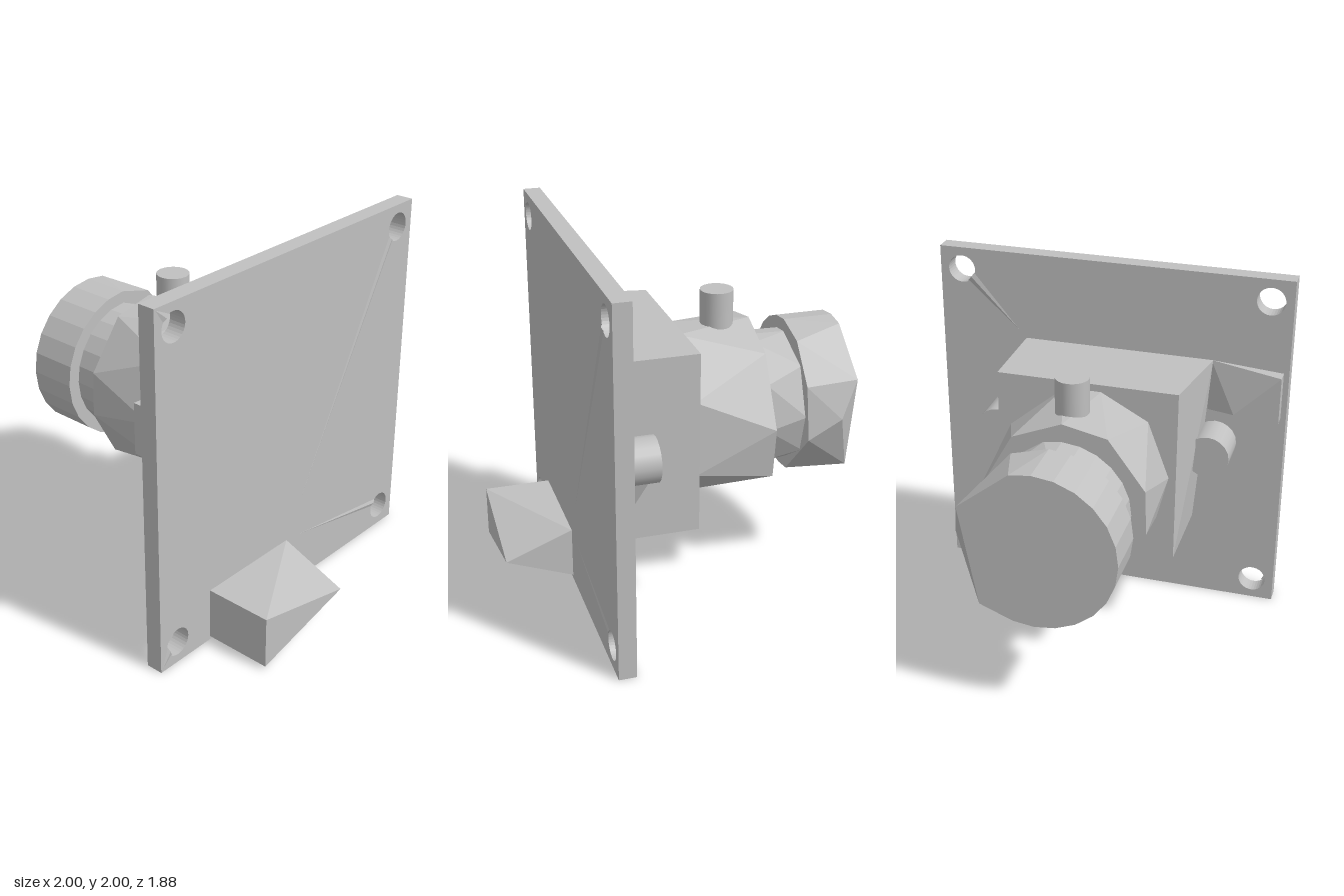
import * as THREE from 'three';
import { ConvexGeometry } from 'three/addons/geometries/ConvexGeometry.js';

export function createModel() {
  const model = new THREE.Group();
  const grey = new THREE.MeshStandardMaterial({ color: 0xc0c0c0 });
  grey.name = 'plain grey';

  const add = (name, geometry, x = 0, y = 0, z = 0) => {
    const mesh = new THREE.Mesh(geometry, grey);
    mesh.name = name;
    mesh.position.set(x, y, z);
    model.add(mesh);
    return mesh;
  };
  // faceted solid around a few corner points
  const solid = (name, points) =>
    add(name, new ConvexGeometry(points.map((p) => new THREE.Vector3(...p))));
  const ring = (z, points) => points.map(([x, y]) => [x, y, z]);
  // finely stepped arc around the body axis, angles in degrees
  const arc = (r, from, to, step = 15) => {
    const points = [];
    for (let a = from; a <= to; a += step) {
      const t = THREE.MathUtils.degToRad(a);
      points.push([r * Math.cos(t), 1 + r * Math.sin(t)]);
    }
    return points;
  };

  // mounting plate with four screw holes
  const plate = new THREE.Shape([[-1, 0], [1, 0], [1, 2], [-1, 2]].map((p) => new THREE.Vector2(...p)));
  for (const x of [-0.875, 0.875]) {
    for (const y of [0.125, 1.875]) {
      plate.holes.push(new THREE.Path().absarc(x, y, 0.078, 0, Math.PI * 2, true));
    }
  }
  add('mountingPlate', new THREE.ExtrudeGeometry(plate, { depth: 0.095, bevelEnabled: false, curveSegments: 16 }), 0, 0, 0.465);

  // fine creases running to the screw holes: [tip, side, side]
  const crease = (z, lift, [a, b, c]) => {
    const mid = [(b[0] + c[0]) / 2, (b[1] + c[1]) / 2, z + lift];
    solid('plateCrease', [...ring(z, [a, b, c]), mid]);
  };
  [
    [[0, 0.32], [0.8, 1.835], [0.84, 1.81]],
    [[0, 0.315], [0.83, 0.19], [0.8, 0.15]],
    [[-1, 2], [-0.945, 1.915], [-0.9, 1.95]],
    [[-1, 0], [-0.95, 0.13], [-0.92, 0.07]],
  ].forEach((p) => crease(0.559, 0.008, p));
  [
    [[0.5, 1.5], [0.8, 1.86], [0.84, 1.81]],
    [[0.5, 0.5], [0.8, 0.15], [0.84, 0.19]],
  ].forEach((p) => crease(0.466, -0.008, p));

  // wedge block on the front
  solid('frontBlock', [
    ...ring(0.56, [[-0.63, 0.02], [-0.005, 0.02], [-0.005, 0.31], [-0.63, 0.31]]),
    ...ring(0.935, [[-0.63, 0.02], [-0.63, 0.31], [-0.005, 0.165]]),
  ]);

  // housing box, flared at its upper right corner
  solid('housing', [
    ...ring(-0.02, [[-0.5, 0.5], [0.5, 0.5], [0.5, 1.5], [-0.5, 1.5]]),
    ...ring(0.465, [[-0.5, 0.5], [0.5, 0.5], [0.5, 1.5], [-0.58, 1.5]]),
  ]);

  // side pins
  for (const x of [-0.61, 0.61]) {
    add('sidePin', new THREE.CylinderGeometry(0.123, 0.123, 0.215, 20), x, 1.01, 0.3575).rotation.x = Math.PI / 2;
  }
  // gusset and fin beside the pins
  solid('gusset', [[0.5, 0.89, 0.26], [0.5, 0.5, 0.465], [0.49, 0.89, 0.465], [0.64, 0.89, 0.465], [0.6, 0.89, 0.27]]);
  solid('fin', [
    [-0.57, 1.5, 0.465], [-0.97, 1.47, 0.39], [-0.97, 1.47, 0.465],
    [-0.97, 1.2, 0.465], [-0.97, 1.2, 0.39], [-0.72, 1.22, 0.39], [-0.56, 1.2, 0.465],
  ]);

  // faceted barrel
  solid('barrel', [
    ...ring(-0.02, [[0.45, 0.79], [0.43, 1.2], [0.12, 1.46], [-0.08, 1.46], [-0.34, 1.32],
      [-0.46, 1.0], [-0.4, 0.75], [-0.19, 0.6], [0.1, 0.52]]),
    ...ring(-0.455, [[0.43, 0.715], [0.47, 1.0], [0.27, 1.36], [0, 1.47], [-0.24, 1.42],
      [-0.44, 1.15], [-0.45, 0.9], [-0.3, 0.62], [0, 0.545]]),
  ]);

  // neck, round on one side and coarse on the other
  solid('neck', [
    ...ring(-0.45, [...arc(0.37, 75, 270), [0.33, 1.2], [0.37, 0.95], [0.26, 0.72]]),
    ...ring(-0.67, [...arc(0.365, 90, 285), [0.26, 1.26], [0.36, 1.0], [0.3, 0.78]]),
  ]);

  // end knob
  solid('knob', [
    ...ring(-0.66, [...arc(0.435, 90, 285), [0.2, 1.38], [0.37, 1.18], [0.42, 0.89]]),
    [0.44, 1.0, -0.84],
    ...ring(-0.94, [...arc(0.435, 75, 285), [0.39, 1.2], [0.29, 0.65]]),
  ]);

  // upright stub on the barrel
  add('stub', new THREE.CylinderGeometry(0.09, 0.09, 0.25, 24), 0, 1.525, -0.27);

  return model;
}
